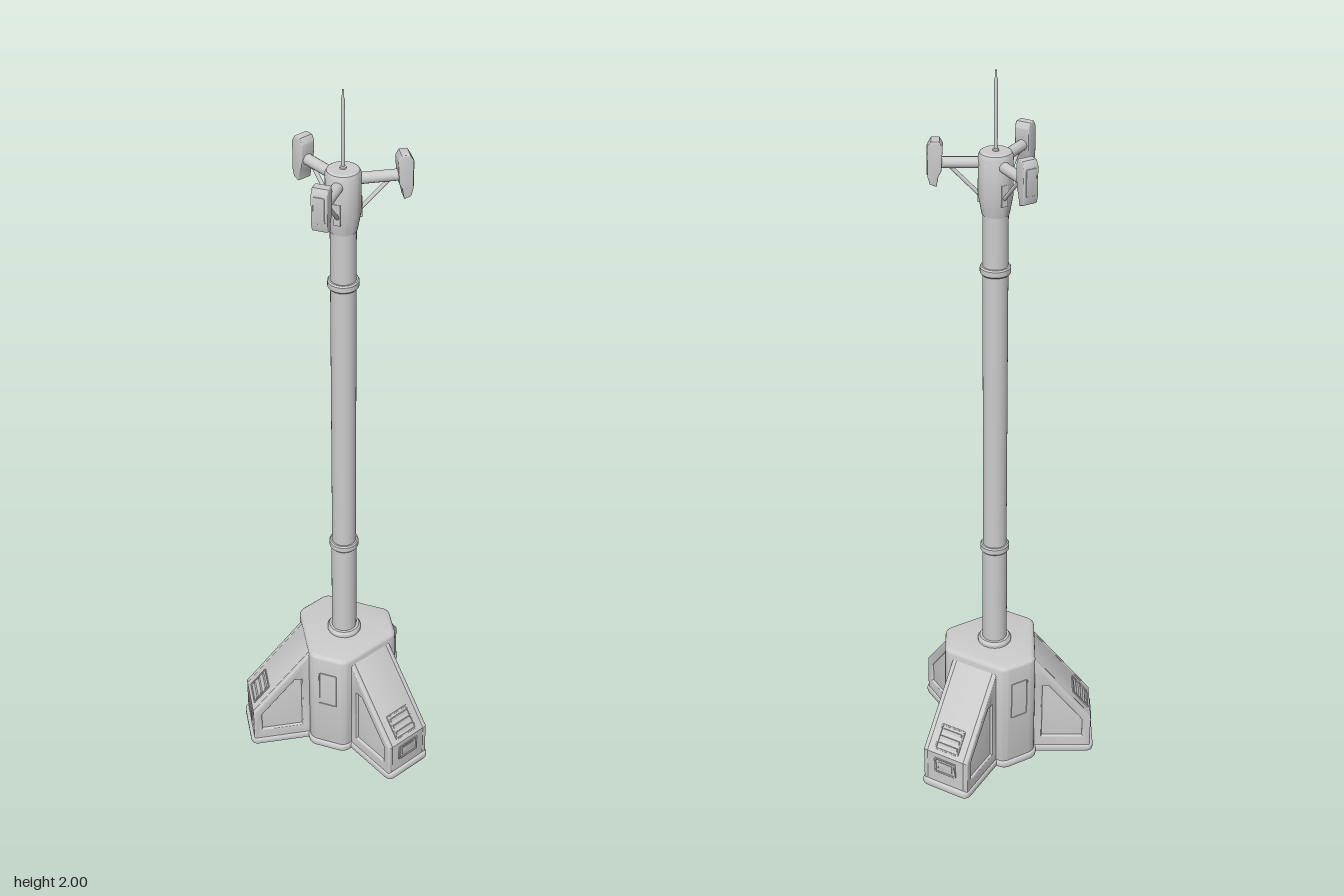
import * as THREE from 'three';
import { toCreasedNormals } from 'three/addons/utils/BufferGeometryUtils.js';

const material = new THREE.MeshStandardMaterial({ color: 0xcccccc });

function add(parent, name, geometry, x = 0, y = 0, z = 0) {
  const mesh = new THREE.Mesh(geometry, material);
  mesh.name = name;
  mesh.position.set(x, y, z);
  parent.add(mesh);
  return mesh;
}

// Closed outline with rounded corners
function rounded(points, radius) {
  const pts = points.map(([x, y]) => new THREE.Vector2(x, y));
  const shape = new THREE.Shape();
  pts.forEach((p, i) => {
    const toward = (q) => p.clone().add(q.clone().sub(p).setLength(radius));
    const a = toward(pts[(i + pts.length - 1) % pts.length]);
    const b = toward(pts[(i + 1) % pts.length]);
    if (i) shape.lineTo(a.x, a.y);
    else shape.moveTo(a.x, a.y);
    shape.quadraticCurveTo(p.x, p.y, b.x, b.y);
  });
  shape.closePath();
  return shape;
}

const rect = (w, h, y = 0) => [[-w, y - h], [w, y - h], [w, y + h], [-w, y + h]];
const polygon = (points) => new THREE.Shape(points.map(([x, y]) => new THREE.Vector2(x, y)));

// Extrusion whose bevel stays inside the given outline and depth
function extrude(shape, depth, bevel) {
  const geometry = new THREE.ExtrudeGeometry(shape, {
    depth: depth - 2 * bevel, bevelEnabled: bevel > 0, bevelSize: bevel,
    bevelThickness: bevel, bevelOffset: -bevel, bevelSegments: 3, curveSegments: 6,
  });
  geometry.translate(0, 0, bevel);
  return toCreasedNormals(geometry, 0.6);
}

// Plan outline (x, -z) raised along y
const upward = (shape, height, bevel) => extrude(shape, height, bevel).rotateX(-Math.PI / 2);

// Side profile (z, y) with its thickness centred on x
const sideways = (shape, width, bevel) =>
  extrude(shape, width, bevel).translate(0, 0, -width / 2).rotateY(-Math.PI / 2);

// Thin raised border around a panel, facing +z
function frame(w, h, border) {
  const shape = rounded(rect(w, h), 0.004);
  shape.holes.push(rounded(rect(w - border, h - border), 0.003));
  return extrude(shape, 0.004, 0.001);
}

// Six-sided plan: long sides behind the legs, short sides between them
function corePlan(longDist, shortDist, radius) {
  const x = (longDist - shortDist / 2) / Math.sin(Math.PI / 3);
  const points = [];
  for (let i = 0; i < 3; i++) {
    const a = (i * Math.PI * 2) / 3;
    for (const s of [-x, x]) {
      points.push([s * Math.cos(a) + shortDist * Math.sin(a),
        s * Math.sin(a) - shortDist * Math.cos(a)]);
    }
  }
  return rounded(points, radius);
}

function makeLeg() {
  const leg = new THREE.Group();
  leg.name = 'leg';

  add(leg, 'legFoot', upward(rounded(rect(0.075, 0.1165, -0.1665), 0.022), 0.022, 0.006));

  const profile = [[0.04, 0.004], [0.274, 0.004], [0.274, 0.122], [0.112, 0.326], [0.04, 0.326]];
  add(leg, 'legBody', sideways(polygon(profile), 0.126, 0.008));

  // Side skins with a sunken five-sided panel
  for (const side of [-1, 1]) {
    const skin = polygon(profile);
    skin.holes.push(polygon([[0.135, 0.055], [0.25, 0.055], [0.25, 0.112], [0.155, 0.232], [0.135, 0.232]]));
    add(leg, 'legSideSkin', sideways(skin, 0.016, 0.005), side * 0.062);
  }

  // Vent on the slope
  const vent = new THREE.Group();
  vent.name = 'vent';
  vent.position.set(0, 0.159, 0.2435);
  vent.rotation.x = -0.67;
  add(vent, 'ventFrame', frame(0.037, 0.036, 0.004));
  for (let i = -1; i <= 1; i++) {
    add(vent, 'ventSlat', new THREE.BoxGeometry(0.058, 0.009, 0.006), 0, i * 0.02, 0.001).rotation.x = 0.3;
  }
  leg.add(vent);

  // Hatch on the outer end
  add(leg, 'endHatchFrame', frame(0.034, 0.025, 0.005), 0, 0.082, 0.273);
  add(leg, 'endHatch', extrude(rounded(rect(0.022, 0.013), 0.003), 0.004, 0.001), 0, 0.082, 0.272);
  return leg;
}

function tube(parent, name, from, to, radius) {
  const a = new THREE.Vector3(...from);
  const b = new THREE.Vector3(...to);
  const mesh = add(parent, name, new THREE.CylinderGeometry(radius, radius, a.distanceTo(b), 16));
  mesh.position.copy(a).lerp(b, 0.5);
  mesh.quaternion.setFromUnitVectors(new THREE.Vector3(0, 1, 0), b.sub(a).normalize());
}

function makeArm() {
  const arm = new THREE.Group();
  arm.name = 'arm';
  tube(arm, 'armTube', [0, 1.772, 0.03], [0, 1.772, 0.135], 0.014);
  tube(arm, 'armBrace', [0, 1.685, 0.034], [0, 1.765, 0.112], 0.005);
  add(arm, 'braceLug', new THREE.BoxGeometry(0.016, 0.055, 0.014), 0, 1.7, 0.037);
  // Panel with a thick upper back and a slim lower end
  const outline = [[0.142, 1.716], [0.158, 1.722], [0.163, 1.74], [0.163, 1.815],
    [0.154, 1.83], [0.134, 1.83], [0.126, 1.815], [0.13, 1.755], [0.137, 1.742]];
  add(arm, 'armPanel', sideways(polygon(outline), 0.04, 0.003));
  add(arm, 'armPanelCover', extrude(rounded(rect(0.014, 0.034), 0.004), 0.004, 0.001), 0, 1.778, 0.161);
  return arm;
}

// Turned part from [radius, height] points, with crisp edges
function turned(points, segments = 32) {
  return toCreasedNormals(new THREE.LatheGeometry(points.map((p) => new THREE.Vector2(...p)), segments), 0.5);
}

export function createModel() {
  const model = new THREE.Group();
  model.name = 'mast';
  const mast = new THREE.Group();
  mast.name = 'mastAssembly';
  mast.position.z = 0.04;
  model.add(mast);

  // Base
  add(mast, 'coreFoot', upward(corePlan(0.118, 0.145, 0.02), 0.022, 0.006));
  add(mast, 'core', upward(corePlan(0.113, 0.138, 0.018), 0.346, 0.012), 0, 0.004);

  for (let i = 0; i < 3; i++) {
    const angle = (i * Math.PI * 2) / 3;
    const leg = makeLeg();
    leg.rotation.y = angle + Math.PI / 3;
    const arm = makeArm();
    arm.rotation.y = angle;
    const corner = new THREE.Group();
    corner.name = 'cornerPanel';
    corner.rotation.y = angle;
    add(corner, 'cornerPanelFrame', frame(0.026, 0.06, 0.003), 0, 0.23, 0.136);
    mast.add(leg, arm, corner);
  }

  // Pole with collar and joint rings
  add(mast, 'poleCollar', turned([[0, 0.345], [0.046, 0.345], [0.046, 0.358], [0.041, 0.366], [0, 0.366]]));
  add(mast, 'lowerPole', new THREE.CylinderGeometry(0.034, 0.034, 0.32, 32), 0, 0.505);
  add(mast, 'upperPole', new THREE.CylinderGeometry(0.032, 0.032, 1.0, 32), 0, 1.16);
  for (const y of [0.667, 1.492]) {
    add(mast, 'poleRing', turned([[0.03, -0.011], [0.036, -0.011], [0.039, -0.007],
      [0.039, 0.007], [0.036, 0.011], [0.03, 0.011]]), 0, y);
  }

  // Head and whip antenna
  add(mast, 'head', turned([[0, 1.64], [0.034, 1.64], [0.036, 1.65], [0.043, 1.69],
    [0.043, 1.79], [0.039, 1.799], [0.034, 1.802], [0, 1.802]]));
  add(mast, 'antenna', turned([[0, 1.8], [0.008, 1.8], [0.008, 1.806], [0.0045, 1.808],
    [0.0045, 1.975], [0.003, 1.98], [0.002, 2.0], [0, 2.0]], 12));
  return model;
}
